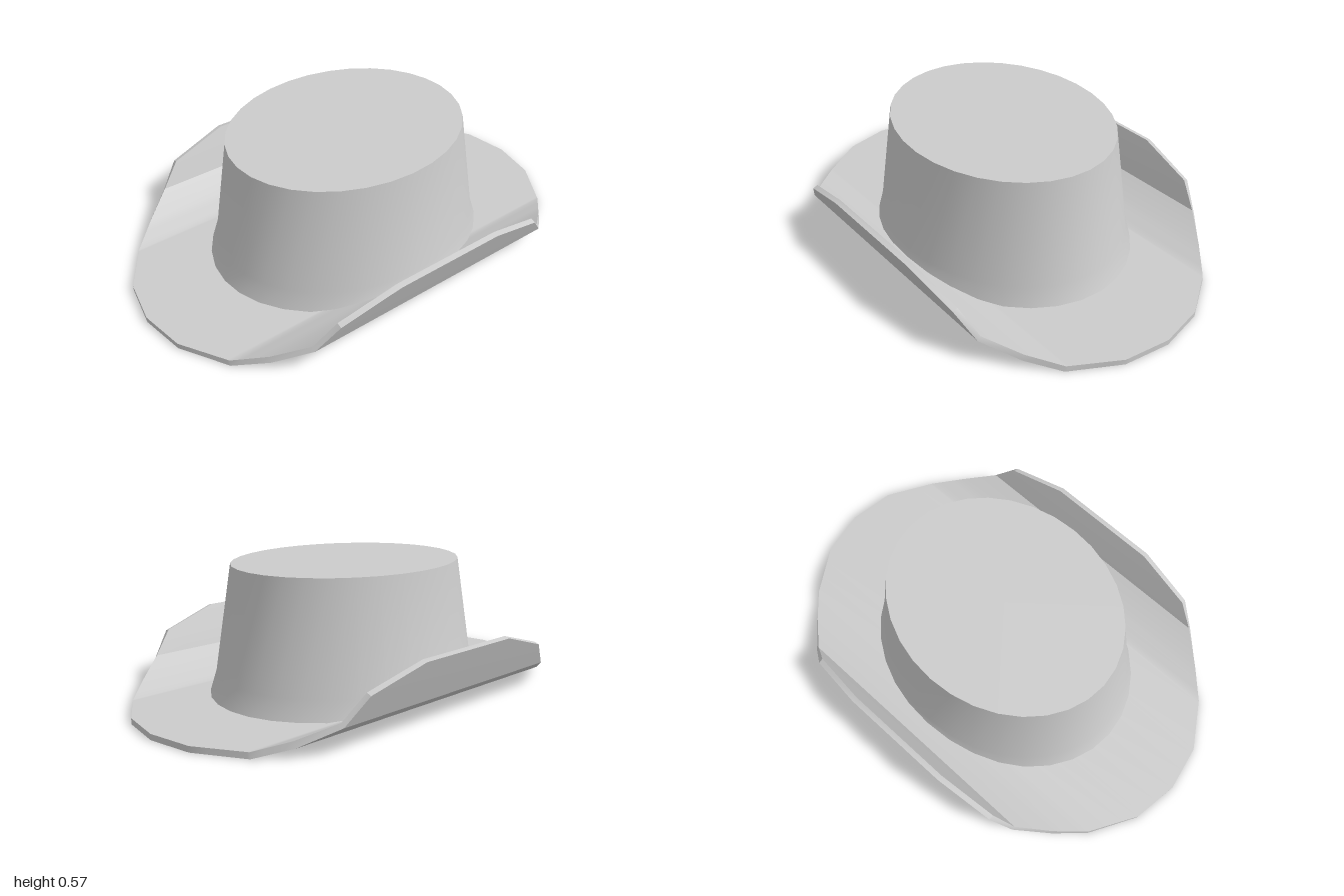
import * as THREE from 'three';
import { toCreasedNormals } from 'three/addons/utils/BufferGeometryUtils.js';

const SIDES = 32;
const HOLE = { rx: 0.47, rz: 0.57 };

// Brim section, centre to edge: x, underside y, outline half length z, offset to the upper face (dx, dy)
const BRIM = [
  [0, 0, 1, 0, 0.025],
  [0.2, 0, 0.965, 0, 0.025],
  [0.4, 0, 0.845, -0.005, 0.025],
  [0.51, 0.04, 0.73, -0.008, 0.026],
  [0.617, 0.11, 0.6, -0.014, 0.016],
  [0.66, 0.217, 0.51, -0.022, 0.008],
  [0.69, 0.295, 0.25, -0.023, 0.006],
];

// Interpolates the brim section at any x, mirrored left to right
function brimAt(x) {
  const a = Math.min(Math.abs(x), 0.69);
  let i = 0;
  while (i < BRIM.length - 2 && a > BRIM[i + 1][0]) i++;
  const t = (a - BRIM[i][0]) / (BRIM[i + 1][0] - BRIM[i][0]);
  const [, y, z, dx, dy] = BRIM[i].map((v, k) => v + (BRIM[i + 1][k] - v) * t);
  return { y, z, topX: x + Math.sign(x) * dx, topY: y + dy };
}

function meshFromQuads(name, quads, crease) {
  const pos = [];
  for (const [a, b, c, d] of quads) pos.push(...a, ...b, ...c, ...a, ...c, ...d);
  let geo = new THREE.BufferGeometry();
  geo.setAttribute('position', new THREE.Float32BufferAttribute(pos, 3));
  geo = toCreasedNormals(geo, crease);
  const mat = new THREE.MeshStandardMaterial({ color: 0xcccccc, side: THREE.DoubleSide });
  const mesh = new THREE.Mesh(geo, mat);
  mesh.name = name;
  return mesh;
}

// Curled brim: strips across x, each running from the head opening to the outline
function makeBrim() {
  const half = BRIM.map((p) => p[0]);
  for (let k = 1; k <= SIDES / 4; k++) half.push(HOLE.rx * Math.sin((k * 2 * Math.PI) / SIDES));
  half.sort((a, b) => a - b);
  const xs = [...half.slice(1).reverse().map((x) => -x), ...half];
  const stations = xs.map((x) => {
    const b = brimAt(x);
    const inner = HOLE.rz * Math.sqrt(Math.max(0, 1 - (x / HOLE.rx) ** 2));
    return {
      low: (z) => [x, b.y, z],
      top: (z) => [b.topX, b.topY, z],
      inner, outer: b.z,
    };
  });
  const quads = [];
  for (let i = 0; i < stations.length - 1; i++) {
    const p = stations[i], q = stations[i + 1];
    for (const s of [1, -1]) {
      const faces = [
        [p.top(s * p.inner), p.top(s * p.outer), q.top(s * q.outer), q.top(s * q.inner)],
        [p.low(s * p.inner), q.low(s * q.inner), q.low(s * q.outer), p.low(s * p.outer)],
        [p.low(s * p.outer), q.low(s * q.outer), q.top(s * q.outer), p.top(s * p.outer)],
      ];
      for (const f of faces) quads.push(s > 0 ? f : f.reverse());
    }
  }
  // Straight edges at the two curled sides
  const l = stations[0], r = stations[stations.length - 1], e = r.outer;
  quads.push([r.low(e), r.low(-e), r.top(-e), r.top(e)]);
  quads.push([l.low(-e), l.low(e), l.top(e), l.top(-e)]);
  return meshFromQuads('brim', quads, 0.5);
}

// Stacks elliptical rings; y may be a number or a rule of x
function makeRings(name, rings, crease) {
  const point = ([rx, rz, y], k) => {
    const a = ((k % SIDES) * 2 * Math.PI) / SIDES;
    const x = rx * Math.sin(a);
    return [x, typeof y === 'function' ? y(x) : y, rz * Math.cos(a)];
  };
  const quads = [];
  for (let i = 0; i < rings.length - 1; i++) {
    for (let k = 0; k < SIDES; k++) {
      quads.push([point(rings[i], k), point(rings[i], k + 1),
        point(rings[i + 1], k + 1), point(rings[i + 1], k)]);
    }
  }
  return meshFromQuads(name, quads, crease);
}

export function createModel() {
  const group = new THREE.Group();
  group.name = 'hat';
  group.add(makeBrim());

  // Tapered crown with a small flare where it meets the brim
  group.add(makeRings('crown', [
    [0.52, 0.638, (x) => brimAt(x).topY],
    [0.505, 0.605, 0.11],
    [0.44, 0.53, 0.57],
    [0, 0, 0.57],
  ], 0.6));

  // Hollow inside, listed from the ceiling down so that it faces inward
  group.add(makeRings('crownLining', [
    [0, 0, 0.4],
    [0.43, 0.525, 0.4],
    [HOLE.rx, HOLE.rz, (x) => brimAt(x).y],
  ], 0.6));
  return group;
}
